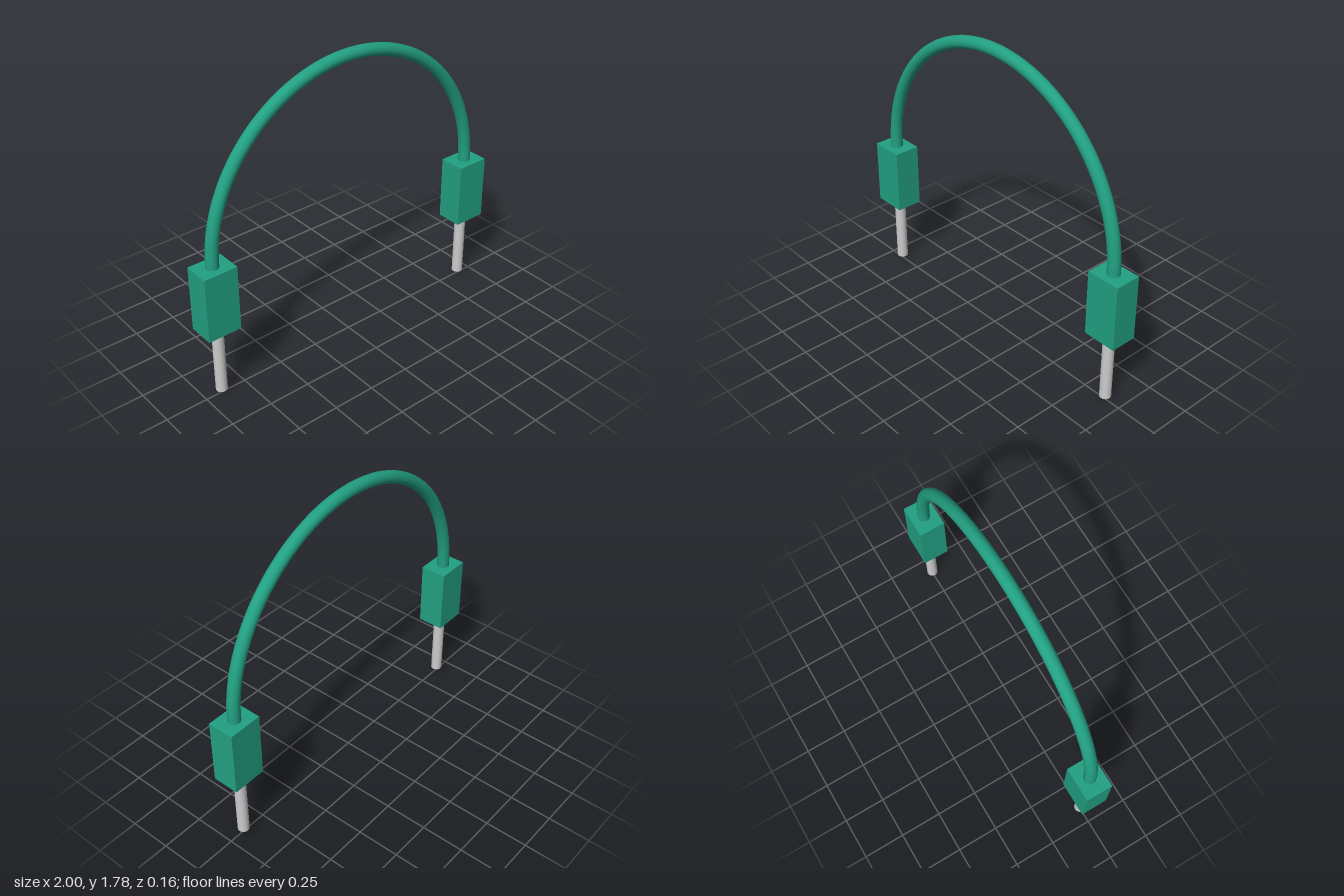
import * as THREE from 'three';

const ARC_RADIUS = 0.9;
const ARC_Y = 0.845;
const WIRE_RADIUS = 0.036;
const BLOCK_BOTTOM = 0.435;
const BLOCK_TOP = 0.825;

export function createModel() {
  const green = new THREE.MeshStandardMaterial({ color: 0x22a082 });
  green.name = 'green plastic';
  const metal = new THREE.MeshStandardMaterial({ color: 0xcccccc });
  metal.name = 'pale metal';

  const model = new THREE.Group();
  model.name = 'jumperWire';
  const add = (parent, name, geometry, material, y) => {
    const mesh = new THREE.Mesh(geometry, material);
    mesh.name = name;
    mesh.position.y = y;
    parent.add(mesh);
  };

  // Half-circle wire between the two plugs
  add(model, 'wireArc', new THREE.TorusGeometry(ARC_RADIUS, WIRE_RADIUS, 24, 96, Math.PI), green, ARC_Y);

  // Plug: short straight wire end, housing block, pin and pointed tip
  for (const side of [-1, 1]) {
    const plug = new THREE.Group();
    plug.name = side > 0 ? 'leftPlug' : 'rightPlug';
    plug.position.x = side * ARC_RADIUS;

    const stub = ARC_Y - BLOCK_TOP + 0.02;
    add(plug, 'wireEnd', new THREE.CylinderGeometry(WIRE_RADIUS, WIRE_RADIUS, stub, 24, 1, true), green, ARC_Y - stub / 2);

    const height = BLOCK_TOP - BLOCK_BOTTOM;
    add(plug, 'housing', new THREE.BoxGeometry(0.2, height, 0.157), green, BLOCK_BOTTOM + height / 2);

    const pinLength = BLOCK_BOTTOM + 0.02 - 0.025;
    add(plug, 'pin', new THREE.CylinderGeometry(0.033, 0.033, pinLength, 24, 1, true), metal, 0.025 + pinLength / 2);
    add(plug, 'pinTip', new THREE.CylinderGeometry(0.033, 0.002, 0.025, 24), metal, 0.0125);
    model.add(plug);
  }
  return model;
}
